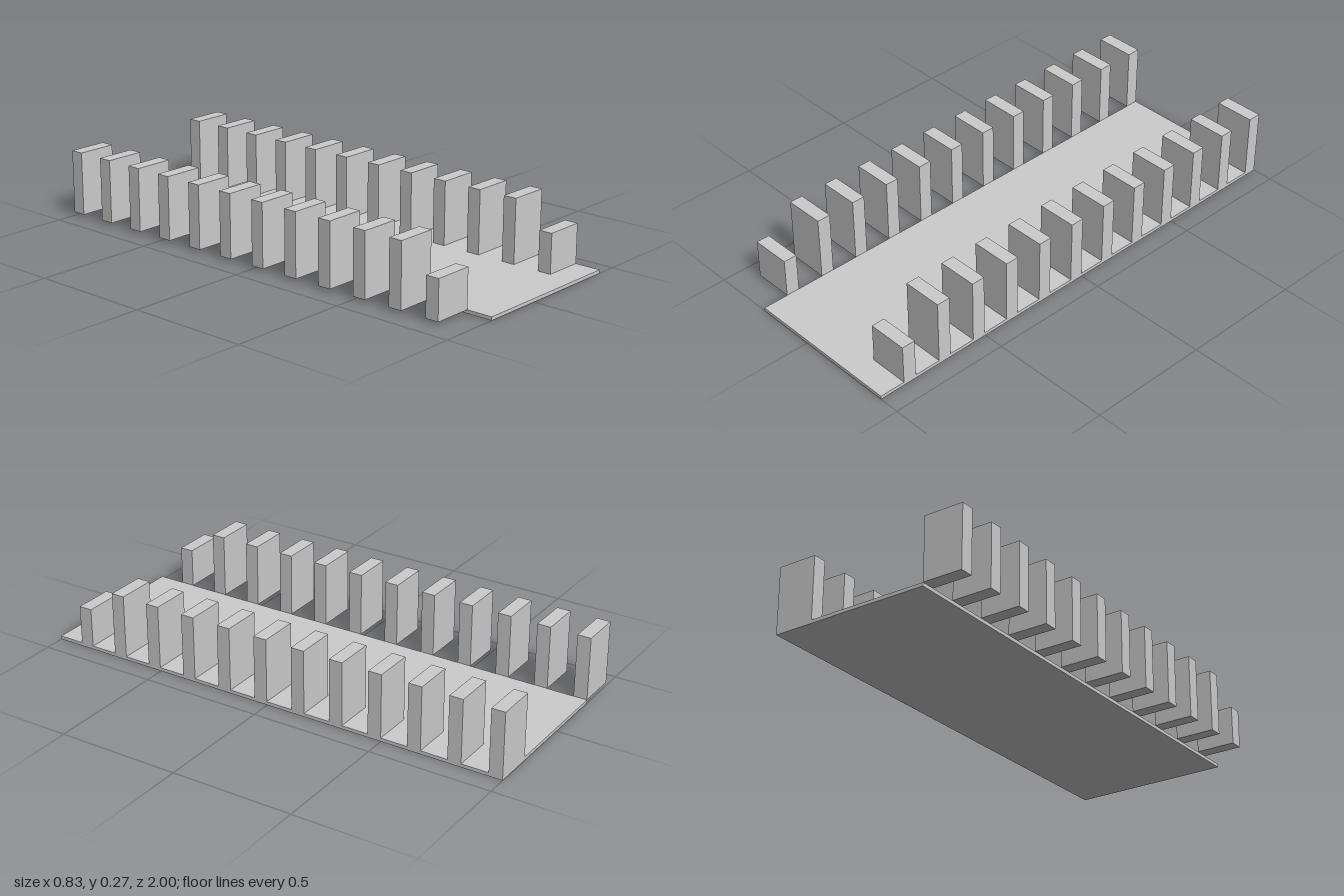
import * as THREE from 'three';

const INNER = 0.25, OUTER = 0.415;   // block extent on each side
const BASE_H = 0.014;                // base plate thickness
const COUNT = 12, DEPTH = 0.056;     // blocks per row and their thickness

export function createModel() {
  const group = new THREE.Group();
  const material = new THREE.MeshStandardMaterial({ color: 0xcccccc, flatShading: true });

  const addBox = (name, x0, x1, y0, y1, z0, z1) => {
    const mesh = new THREE.Mesh(new THREE.BoxGeometry(x1 - x0, y1 - y0, z1 - z0), material);
    mesh.position.set((x0 + x1) / 2, (y0 + y1) / 2, (z0 + z1) / 2);
    mesh.name = name;
    group.add(mesh);
  };

  // Thin plate, reaching under the left row only
  addBox('basePlate', -INNER, OUTER, 0, BASE_H, -1, 1);

  // Two rows of upright blocks; the front pair is shorter
  for (let i = 0; i < COUNT; i++) {
    const z = -1 + i * 0.167;
    const top = i === COUNT - 1 ? 0.174 : 0.274;
    addBox(`leftBlock${i + 1}`, INNER, OUTER, BASE_H, top, z, z + DEPTH);
    addBox(`rightBlock${i + 1}`, -OUTER, -INNER, BASE_H, top, z, z + DEPTH);
  }
  return group;
}
